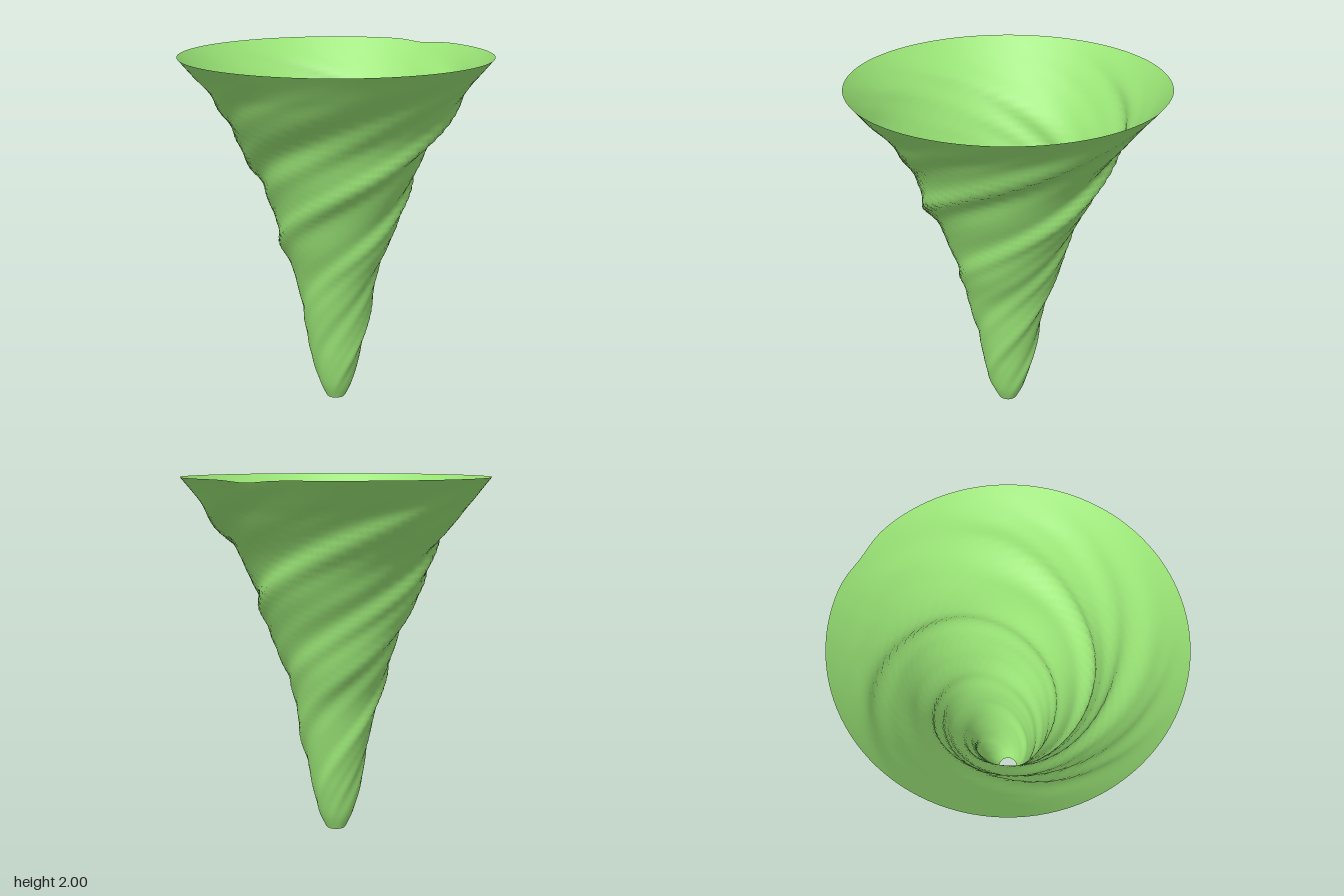
import * as THREE from 'three';
import { mergeVertices } from 'three/addons/utils/BufferGeometryUtils.js';

// Mean funnel profile: [radius, height]
const PROFILE = [
  [0.057, 0], [0.1, 0.1], [0.138, 0.25], [0.165, 0.4], [0.202, 0.6], [0.242, 0.8], [0.308, 1.0],
  [0.37, 1.2], [0.452, 1.4], [0.535, 1.6], [0.665, 1.8], [0.74, 1.9], [0.82, 2.0],
];
const TWIST = 3.5; // radians of swirl per unit of height

// Lopsided wave about zero, so each ridge has a steep and a gentle flank
const wave = (a) => Math.cos(a + 0.5 * Math.sin(a)) + 0.24;

// Relative bulge of the wall, following ridges that wind upwards
function ridges(angle, y) {
  const u = angle - TWIST * y;
  const sum = 0.034 * wave(3 * u + 0.9)
    + 0.02 * wave(7 * u + 0.6 + 0.8 * Math.sin(3 * y))
    + 0.012 * wave(11 * u + 2.0 * Math.sin(2.2 * y + 1));
  const fade = THREE.MathUtils.smoothstep(y, -0.1, 0.3) * (1 - THREE.MathUtils.smoothstep(y, 1.6, 2.0));
  return sum * fade;
}

export function createModel() {
  const group = new THREE.Group();
  group.name = 'whirlwind';

  // Smooth open funnel
  const curve = new THREE.SplineCurve(PROFILE.map(([r, y]) => new THREE.Vector2(r, y)));
  let geometry = new THREE.LatheGeometry(curve.getPoints(72), 112);

  // Push the wall in and out along the swirling ridges
  const pos = geometry.attributes.position;
  for (let i = 0; i < pos.count; i++) {
    const x = pos.getX(i), y = pos.getY(i), z = pos.getZ(i);
    const angle = Math.atan2(x, z);
    // Shallow dent where one furrow reaches the rim at the back
    const offset = angle - 2.62 - TWIST * (y - 2);
    const d = Math.atan2(Math.sin(offset), Math.cos(offset));
    const dent = Math.exp(-((d / 0.13) ** 2)) * THREE.MathUtils.smoothstep(y, 1.5, 1.9);
    const scale = 1 + ridges(angle, y) - 0.014 * dent;
    pos.setXYZ(i, x * scale, y - 0.012 * dent, z * scale);
  }

  // Weld the seam so the shading runs smoothly all the way round
  geometry.deleteAttribute('uv');
  geometry.deleteAttribute('normal');
  geometry = mergeVertices(geometry, 1e-4);
  geometry.computeVertexNormals();

  const funnel = new THREE.Mesh(
    geometry,
    new THREE.MeshStandardMaterial({ color: 0x9be677, side: THREE.DoubleSide }),
  );
  funnel.name = 'funnel';
  group.add(funnel);
  return group;
}
